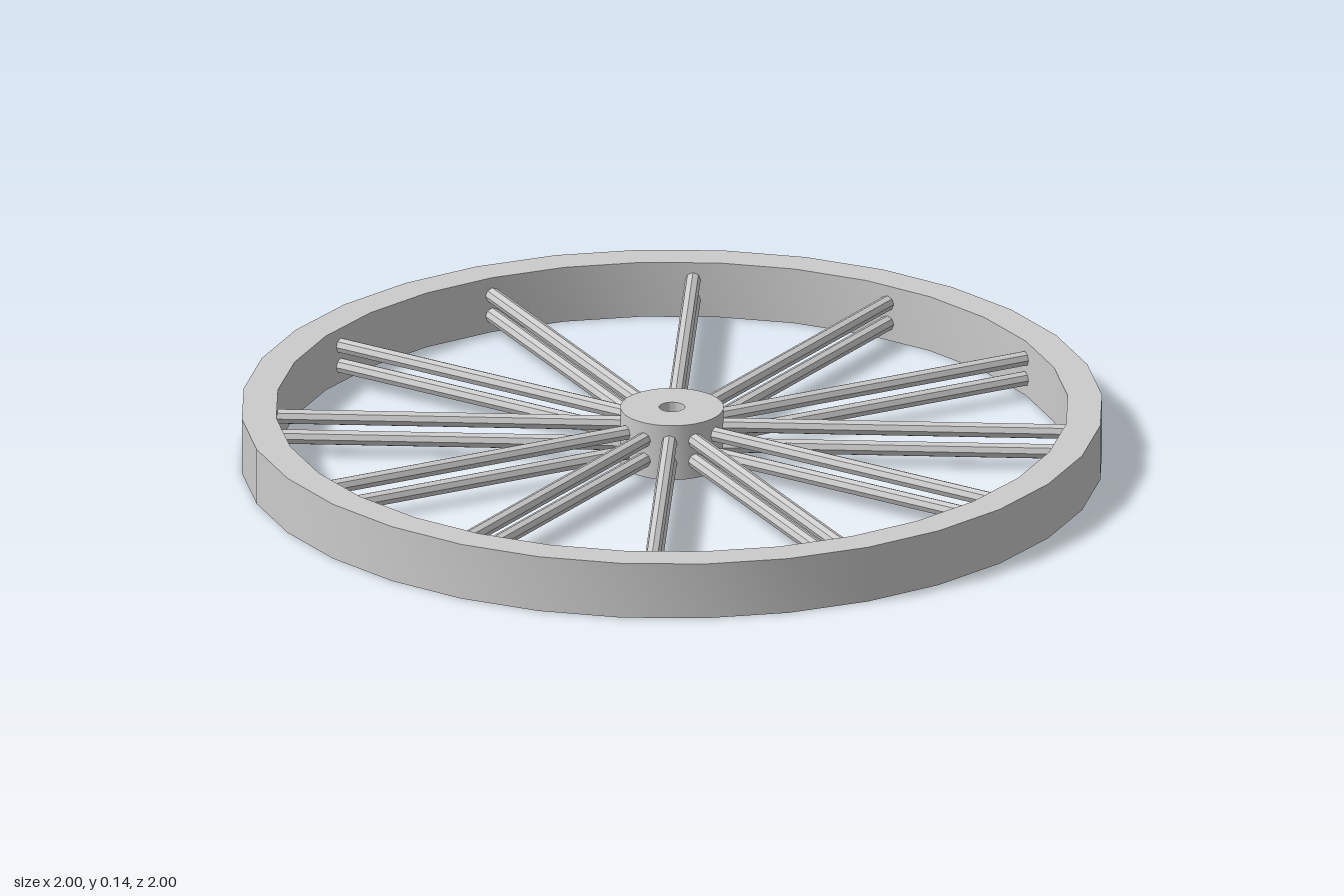
import * as THREE from 'three';
import { toCreasedNormals } from 'three/addons/utils/BufferGeometryUtils.js';

const HEIGHT = 0.135;
const SPOKES = 12;

export function createModel() {
  const wheel = new THREE.Group();
  wheel.name = 'wheel';
  const smooth = new THREE.MeshStandardMaterial({ color: 0xcccccc });
  const faceted = new THREE.MeshStandardMaterial({ color: 0xcccccc, flatShading: true });

  // Turned part with crisp profile corners
  const turned = (name, profile) => {
    const points = profile.map(([r, y]) => new THREE.Vector2(r, y));
    const geometry = toCreasedNormals(new THREE.LatheGeometry(points, 32), 0.6);
    const mesh = new THREE.Mesh(geometry, smooth);
    mesh.name = name;
    wheel.add(mesh);
  };

  // Rim: a flat-sided ring
  const inner = 0.92;
  turned('rim', [[inner, 0], [1, 0], [1, HEIGHT], [inner, HEIGHT], [inner, 0]]);

  // Hub: a disc with an axle socket in each face
  const socket = 0.03, depth = 0.045, hub = 0.12;
  turned('hub', [
    [0, depth], [socket, depth], [socket, 0], [hub, 0],
    [hub, HEIGHT], [socket, HEIGHT], [socket, HEIGHT - depth], [0, HEIGHT - depth],
  ]);

  // Spokes: pairs of thin rods, one above the other
  const start = 0.1, end = 0.918;
  const rod = new THREE.CylinderGeometry(0.018, 0.018, end - start, 8);
  rod.rotateZ(-Math.PI / 2).translate((start + end) / 2, 0, 0);
  for (let i = 0; i < SPOKES; i++) {
    const spoke = new THREE.Group();
    spoke.name = `spoke${i + 1}`;
    spoke.rotation.y = (i / SPOKES) * Math.PI * 2;
    for (const side of [-1, 1]) {
      const mesh = new THREE.Mesh(rod, faceted);
      mesh.name = side > 0 ? 'upperRod' : 'lowerRod';
      mesh.position.y = HEIGHT / 2 + side * 0.025;
      spoke.add(mesh);
    }
    wheel.add(spoke);
  }
  return wheel;
}
